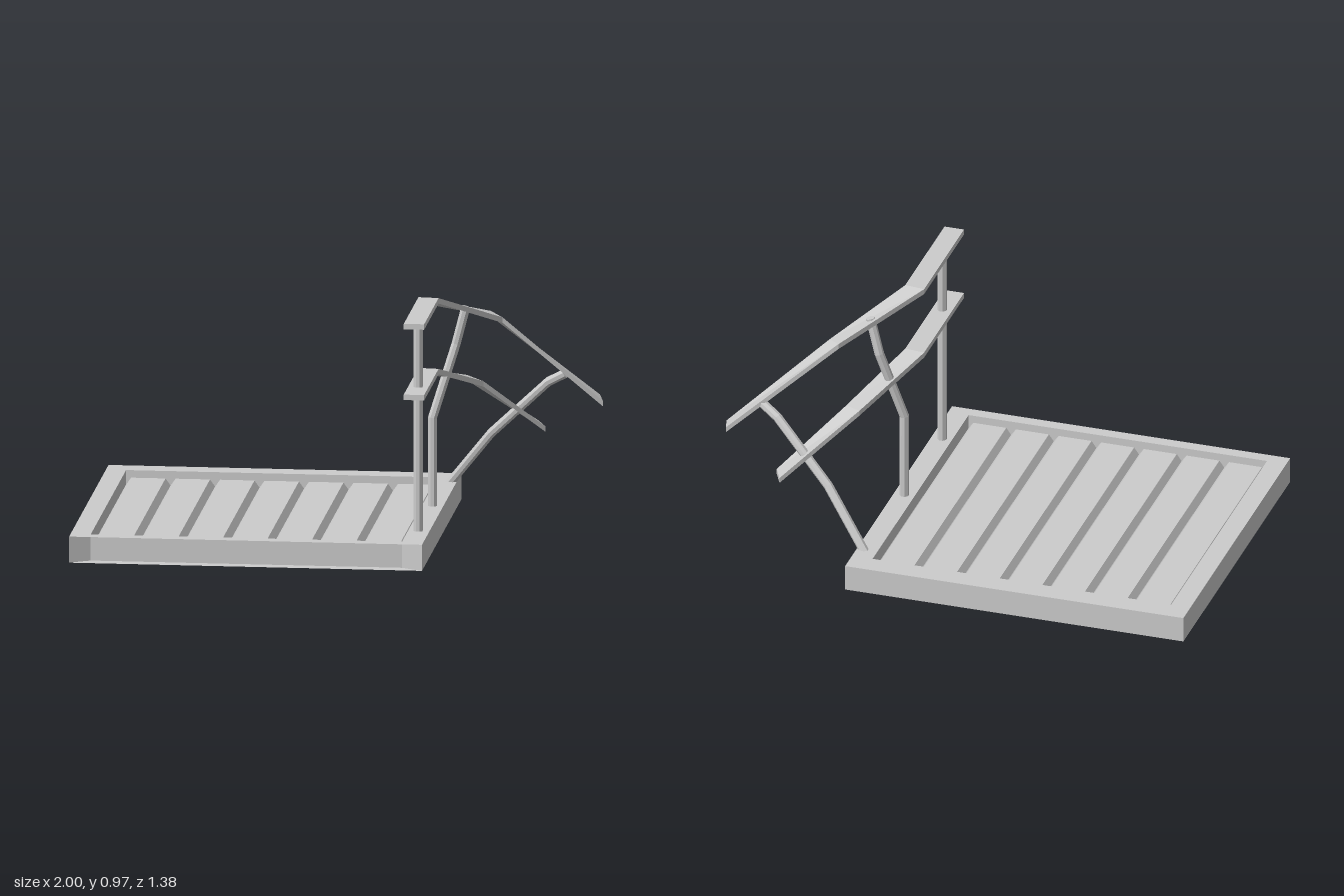
import * as THREE from 'three';

const grey = new THREE.MeshStandardMaterial({ color: 0xcccccc, flatShading: true, side: THREE.DoubleSide });
const V = (x, y, z) => new THREE.Vector3(x, y, z);

function add(group, name, geometry) {
  const mesh = new THREE.Mesh(geometry, grey);
  mesh.name = name;
  group.add(mesh);
  return mesh;
}

// Closed solid through a row of rings; each ring runs anticlockwise around the travel direction
function loft(rings) {
  const n = rings[0].length, index = [];
  for (let i = 0; i < rings.length - 1; i++) {
    for (let j = 0; j < n; j++) {
      const a = i * n + j, b = i * n + (j + 1) % n;
      index.push(a, b, b + n, a, b + n, a + n);
    }
  }
  const last = (rings.length - 1) * n;
  for (let j = 1; j < n - 1; j++) index.push(0, j + 1, j, last, last + j, last + j + 1);
  const geo = new THREE.BufferGeometry().setFromPoints(rings.flat());
  geo.setIndex(index);
  const flat = geo.toNonIndexed();
  flat.computeVertexNormals();
  return flat;
}

// Flat board given by its left and right top edges
function board(pairs, thickness = 0.022) {
  const drop = V(0, -thickness, 0);
  return loft(pairs.map(([l, r]) => {
    const L = V(...l), R = V(...r);
    return [L, R, R.clone().add(drop), L.clone().add(drop)];
  }));
}

// Round post with straight pieces between kinks
function post(points, radius = 0.019, sides = 8) {
  const p = points.map(q => V(...q));
  return loft(p.map((c, i) => {
    const t = V(0, 0, 0);
    if (i > 0) t.add(c.clone().sub(p[i - 1]).normalize());
    if (i < p.length - 1) t.add(p[i + 1].clone().sub(c).normalize());
    t.normalize();
    const u = V(0, 0, 1).addScaledVector(t, -t.z).normalize();
    const v = t.clone().cross(u);
    return Array.from({ length: sides }, (_, k) => {
      const a = (k + 0.5) / sides * Math.PI * 2;
      return c.clone().addScaledVector(u, radius * Math.cos(a)).addScaledVector(v, radius * Math.sin(a));
    });
  }));
}

// Plan outline of [x, z] points
const plan = pts => new THREE.Shape(pts.map(([x, z]) => new THREE.Vector2(x, -z)));

export function createModel() {
  const model = new THREE.Group();
  model.name = 'deckWithRailing';
  const H = 0.105, x0 = -0.92, x1 = 0.315, zBack = -0.6, zFront = 0.64;

  // Back and side rails with mitred front ends
  const frame = new THREE.ExtrudeGeometry(plan([
    [-1, 0.69], [x0, zFront], [x0, zBack], [x1, zBack], [x1, zFront], [0.4, 0.69], [0.4, -0.69], [-1, -0.69],
  ]), { depth: H, bevelEnabled: false });
  add(model, 'deckFrame', frame.rotateX(-Math.PI / 2));

  // Hollow front rail: top and bottom strips with a recessed wall
  const strip = [[-1, 0.69], [0.4, 0.69], [x1, zFront], [x0, zFront]];
  for (const [name, y] of [['frontRailTop', H], ['frontRailBottom', 0]]) {
    add(model, name, new THREE.ShapeGeometry(plan(strip)).rotateX(-Math.PI / 2)).position.y = y;
  }
  add(model, 'frontRailWall', new THREE.PlaneGeometry(x1 - x0, H))
    .position.set((x0 + x1) / 2, H / 2, zFront);

  // Planked floor with V grooves between the boards
  const top = 0.075, groove = 0.02, planks = 7, step = (x1 - x0) / planks;
  const profile = new THREE.Shape();
  profile.moveTo(x0, 0.004);
  for (let i = 0; i <= planks; i++) {
    const x = x0 + i * step;
    if (i > 0) profile.lineTo(x - groove, top);
    profile.lineTo(x, top - 0.028);
    if (i < planks) profile.lineTo(x + groove, top);
  }
  profile.lineTo(x1, 0.004);
  const floor = new THREE.ExtrudeGeometry(profile, { depth: zFront - zBack - 0.002, bevelEnabled: false });
  add(model, 'plankFloor', floor.translate(0, 0, zBack));

  // Bent handrail and lower rail
  add(model, 'handrail', board([
    [[0.315, 0.97, 0.58], [0.396, 0.97, 0.58]],
    [[0.315, 0.97, 0.065], [0.396, 0.97, 0.075]],
    [[0.565, 0.852, -0.263], [0.618, 0.838, -0.21]],
    [[0.98, 0.492, -0.422], [1.0, 0.482, -0.348]],
  ]));
  add(model, 'lowerRail', board([
    [[0.315, 0.685, 0.58], [0.396, 0.685, 0.58]],
    [[0.315, 0.685, 0.065], [0.396, 0.685, 0.075]],
    [[0.468, 0.585, -0.294], [0.538, 0.572, -0.244]],
    [[0.725, 0.36, -0.524], [0.762, 0.353, -0.444]],
  ]));

  // Posts: one straight, two bent outwards
  add(model, 'frontPost', post([[0.355, 0.09, 0.425], [0.355, 0.955, 0.425]]));
  add(model, 'middlePost', post([
    [0.357, 0.09, -0.06], [0.357, 0.46, -0.06], [0.445, 0.75, -0.108], [0.484, 0.9, -0.102],
  ]));
  add(model, 'backPost', post([
    [0.365, 0.09, -0.538], [0.545, 0.32, -0.455], [0.78, 0.548, -0.378], [0.85, 0.588, -0.355],
  ]));

  return model;
}
